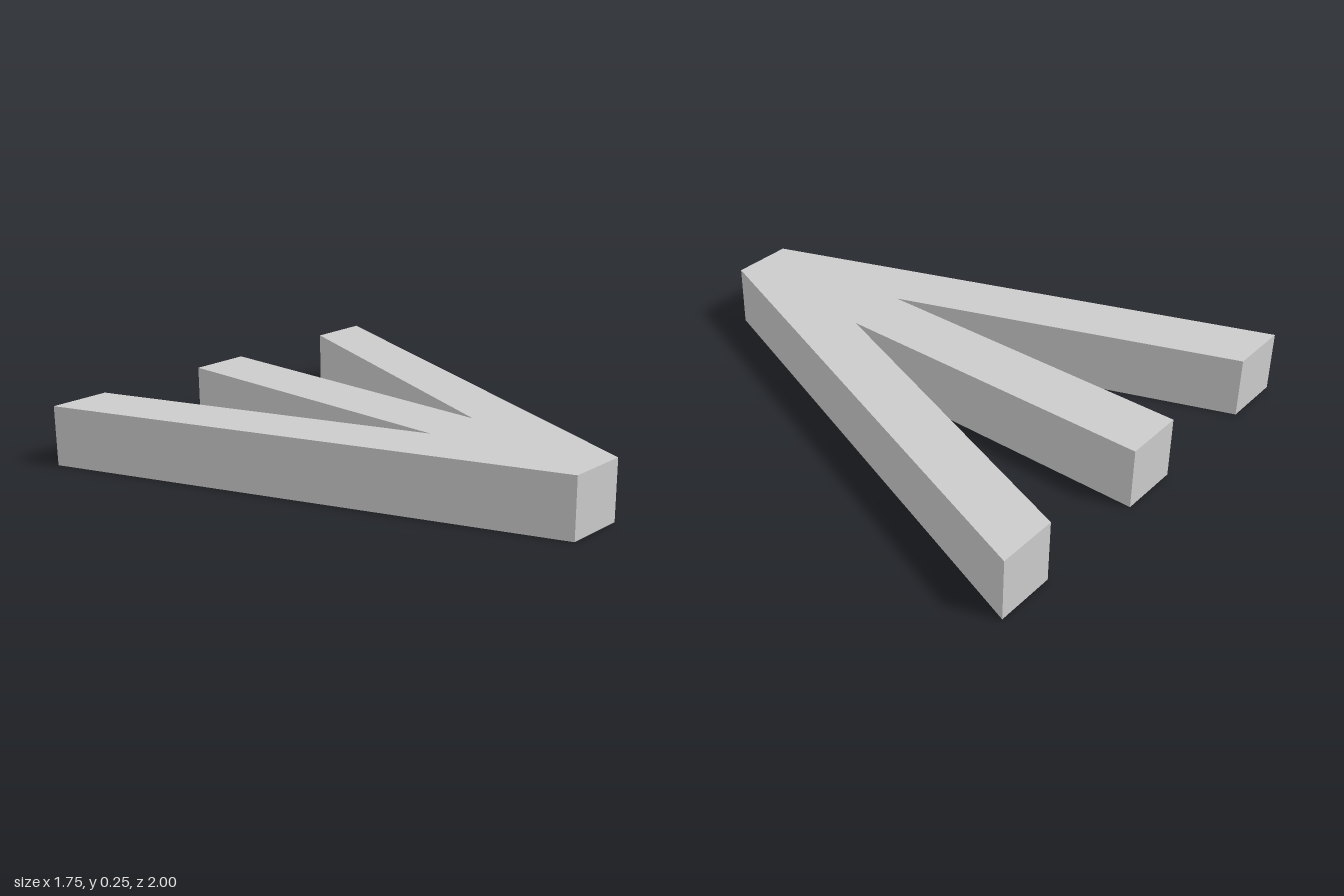
import * as THREE from 'three';

const HEIGHT = 0.25;

export function createModel() {
  const model = new THREE.Group();
  model.name = 'threeProngedFork';

  // Left half of the plan outline, from the front tip to the middle prong (x, -z)
  const leftHalf = [
    [0.125, -1],      // front tip
    [0.875, 1],       // outer prong, outer corner
    [0.625, 1],       // outer prong, inner corner
    [0.125, -1 / 3],  // notch between prongs
    [0.125, 1],       // middle prong corner
  ];
  const rightHalf = leftHalf.map(([x, y]) => [-x, y]).reverse();
  const outline = [...leftHalf, ...rightHalf].map(([x, y]) => new THREE.Vector2(x, y));

  // Extrude the plan upwards into a slab standing on the ground
  const geometry = new THREE.ExtrudeGeometry(new THREE.Shape(outline), {
    depth: HEIGHT,
    bevelEnabled: false,
  });
  geometry.rotateX(-Math.PI / 2);

  const prongs = new THREE.Mesh(
    geometry,
    new THREE.MeshStandardMaterial({ color: 0xcccccc, flatShading: true })
  );
  prongs.name = 'joinedProngs';
  model.add(prongs);
  return model;
}
